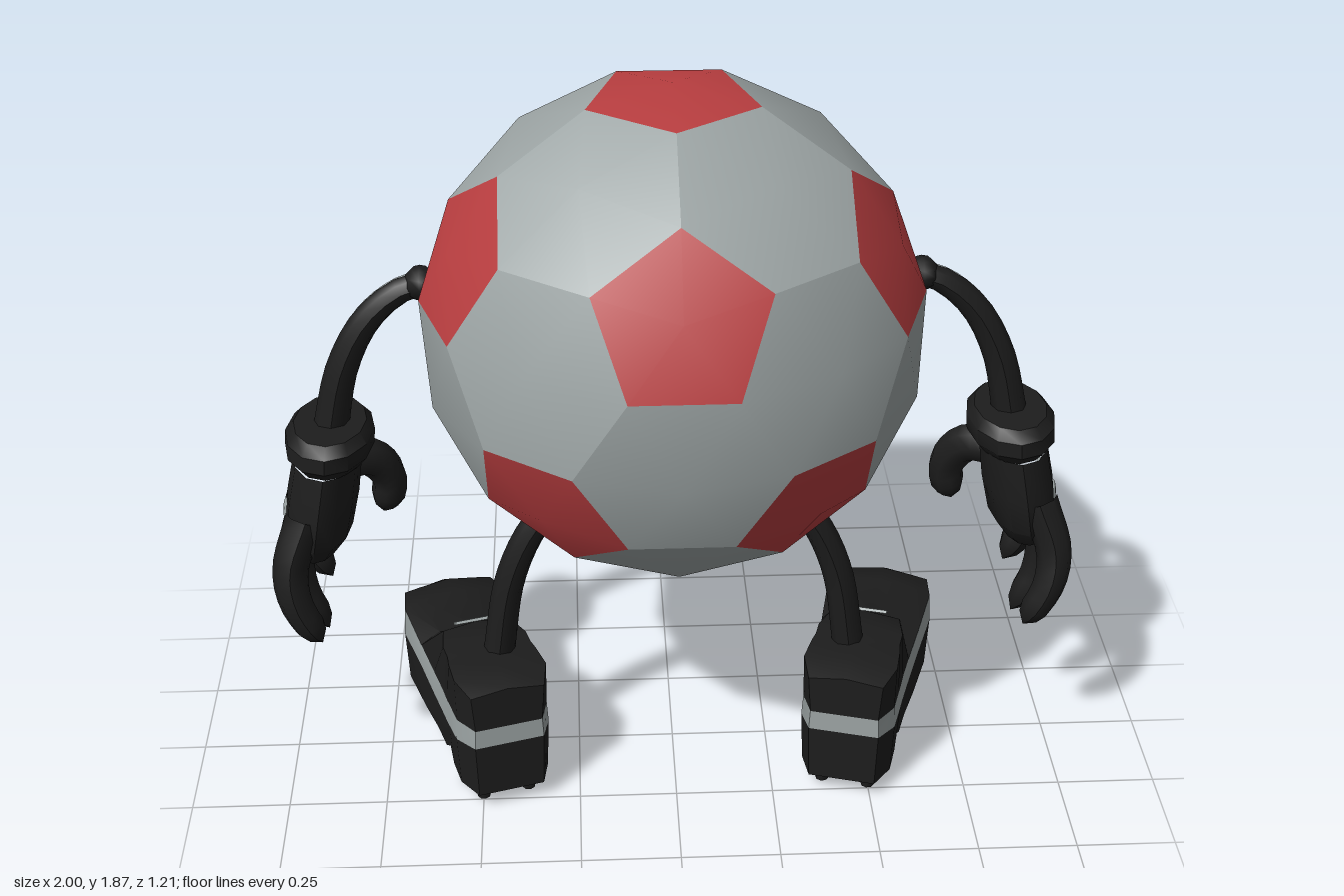
import * as THREE from 'three';
import { mergeGeometries, toCreasedNormals } from 'three/addons/utils/BufferGeometryUtils.js';

const V = (x, y, z) => new THREE.Vector3(x, y, z);
const mat = (name, color) => Object.assign(new THREE.MeshStandardMaterial({ color }), { name });
const red = mat('red panels', 0xb93e40);
const grey = mat('pale grey', 0x9ea6a6);
const black = mat('soft black', 0x1d1d1d);

const R = 0.615, CY = 1.25;

function add(parent, name, geometry, material) {
  const m = new THREE.Mesh(geometry, material);
  m.name = name;
  parent.add(m);
  return m;
}

// Tapered tube; rounded adds a closed tip
function limb(points, r0, r1, rounded = false, sides = 8) {
  const steps = 12, curve = new THREE.CatmullRomCurve3(points);
  const g = new THREE.TubeGeometry(curve, steps, 1, sides);
  const p = g.attributes.position, n = g.attributes.normal;
  for (let i = 0; i < p.count; i++) {
    const ring = Math.floor(i / (sides + 1));
    let r = r0 + (r1 - r0) * ring / steps;
    if (rounded && ring >= steps - 1) r *= ring === steps ? 0.02 : 0.75;
    const c = curve.getPointAt(ring / steps);
    p.setXYZ(i, c.x + n.getX(i) * r, c.y + n.getY(i) * r, c.z + n.getZ(i) * r);
  }
  g.computeVertexNormals();
  return g;
}

function ellipsoid(parent, name, material, pos, rx, ry, rz, seg = 12) {
  const m = add(parent, name, new THREE.SphereGeometry(1, seg, Math.ceil(seg * 0.7)), material);
  m.position.copy(pos);
  m.scale.set(rx, ry, rz);
  return m;
}

// One bulged panel: a fan around its centre
function panel(center, corners) {
  corners = corners.map(c => c.clone().setLength(R));
  const mid = center.clone().setLength(R);
  const ax = corners[0].clone().projectOnPlane(center).normalize();
  const ay = center.clone().normalize().cross(ax);
  corners.sort((a, b) => Math.atan2(a.dot(ay), a.dot(ax)) - Math.atan2(b.dot(ay), b.dot(ax)));
  const g = new THREE.BufferGeometry().setFromPoints([mid, ...corners]);
  const n = corners.length;
  g.setIndex(corners.flatMap((_, i) => [0, 1 + i, 1 + (i + 1) % n]));
  g.computeVertexNormals();
  return g;
}

// Football of twelve pentagons and twenty hexagons
function makeBall(root) {
  const ico = [V(0, 1, 0), V(0, -1, 0)];
  for (let i = 0; i < 5; i++) {
    const a = i * Math.PI * 0.4, h = 1 / Math.sqrt(5), q = 2 * h;
    ico.push(V(q * Math.sin(a), h, q * Math.cos(a)));
    ico.push(V(-q * Math.sin(a), -h, -q * Math.cos(a)));
  }
  const near = (a, b) => a !== b && a.distanceTo(b) < 1.2;
  const third = (a, b) => a.clone().lerp(b, 1 / 3);
  const pent = ico.map(v => panel(v, ico.filter(u => near(u, v)).map(u => third(v, u))));
  const hex = [];
  ico.forEach((a, i) => ico.forEach((b, j) => ico.forEach((c, k) => {
    if (i < j && j < k && near(a, b) && near(b, c) && near(a, c)) {
      hex.push(panel(a.clone().add(b).add(c),
        [third(a, b), third(b, a), third(b, c), third(c, b), third(c, a), third(a, c)]));
    }
  })));
  const ball = new THREE.Group();
  ball.name = 'ball';
  ball.position.y = CY;
  add(ball, 'pentagonPanels', mergeGeometries(pent), red);
  add(ball, 'hexagonPanels', mergeGeometries(hex), grey);
  root.add(ball);
}

// Point on the face side of the ball
const onBall = (x, y, r = 0.607) => V(x, y, -Math.sqrt(r * r - x * x - (y - CY) ** 2));

function makeFace(root) {
  const face = new THREE.Group();
  face.name = 'face';
  for (const s of [-1, 1]) {
    const eye = ellipsoid(face, 'eye', black, onBall(0.215 * s, 1.37, 0.595), 0.075, 0.085, 0.045);
    eye.rotation.y = -s * 0.36;
    ellipsoid(face, 'eyeShine', grey, onBall(0.215 * s - 0.02, 1.355, 0.615), 0.036, 0.045, 0.028);
    add(face, 'eyebrow', limb([onBall(0.1 * s, 1.44), onBall(0.15 * s, 1.475), onBall(0.2 * s, 1.49)],
      0.017, 0.012, true, 6), black);
  }
  const line = (w, y, sag) => limb([-1, -0.5, 0, 0.5, 1].map(t =>
    onBall(w * t, y - sag * (1 - t * t), 0.608)), 0.014, 0.014, false, 6);
  add(face, 'mouth', line(0.17, 1.13, 0.03), black);
  add(face, 'lowerLip', line(0.08, 1.065, 0.015), black);
  root.add(face);
}

function makeArm(root, s) {
  const arm = new THREE.Group();
  arm.name = s > 0 ? 'leftArm' : 'rightArm';
  const P = (x, y, z) => V(x * s, y, z);
  const path = [[0.56, 1.375], [0.64, 1.355], [0.73, 1.28], [0.8, 1.15], [0.845, 0.96]];
  add(arm, 'sleeve', limb(path.map(([x, y]) => P(x, y, 0)), 0.03, 0.044), black);
  add(arm, 'sleeveStripe', limb(path.slice(0, 4).map(([x, y]) => P(x + 0.007, y + 0.007, -0.012)),
    0.018, 0.026), grey);
  ellipsoid(arm, 'shoulder', black, P(0.6, 1.37, 0), 0.04, 0.042, 0.045, 8);

  // Cuff and palm are flattened turned shapes leaning outward
  const turned = (name, profile, zScale, lean) => {
    const g = new THREE.LatheGeometry(profile.map(([r, y]) => new THREE.Vector2(r, y)), 12);
    const p = g.attributes.position;
    for (let i = 0; i < p.count; i++) {
      const y = p.getY(i);
      p.setXYZ(i, p.getX(i) + s * (0.845 + (0.96 - y) * lean), y, p.getZ(i) * zScale);
    }
    add(arm, name, toCreasedNormals(g, 0.7), black);
  };
  turned('cuff', [[0, 0.9], [0.085, 0.9], [0.11, 0.935], [0.11, 0.975], [0.09, 1.0], [0, 1.0]], 1.45, 0.08);
  turned('palm', [[0, 0.62], [0.055, 0.64], [0.085, 0.7], [0.09, 0.8], [0.085, 0.91]], 1.7, 0.18);

  // Three fingers, curling inward at the tips
  for (const f of [-1, 0, 1]) {
    const d = f ? 0.06 : 0;
    add(arm, 'finger', limb([P(0.91, 0.78, f * 0.1), P(0.955, 0.62 + d * 0.5, f * 0.135),
      P(0.945, 0.5 + d, f * 0.155), P(0.89, 0.38 + d, f * 0.15)], 0.05, 0.036, true), black);
    const slit = ellipsoid(arm, 'knuckleStripe', grey, P(0.967, 0.73, f * 0.11), 0.012, 0.05, 0.014, 8);
    if (f) slit.position.x -= s * 0.012;
  }
  add(arm, 'thumb', limb([P(0.86, 0.83, -0.08), P(0.77, 0.81, -0.14), P(0.725, 0.73, -0.175),
    P(0.745, 0.62, -0.18)], 0.055, 0.042, true), black);
  root.add(arm);
}

// Shoe stations: [distance to toe, half width, sole y, band low, band high, top half width, top y]
const stations = [
  [-0.18, 0.09, 0.05, 0.2, 0.255, 0.095, 0.37],
  [-0.11, 0.122, 0.05, 0.19, 0.25, 0.12, 0.385],
  [-0.03, 0.122, 0.05, 0.175, 0.24, 0.115, 0.38],
  [0.0, 0.122, 0.085, 0.17, 0.235, 0.11, 0.38],
  [0.05, 0.122, 0.05, 0.165, 0.235, 0.11, 0.378],
  [0.13, 0.125, 0.05, 0.165, 0.235, 0.09, 0.37],
  [0.23, 0.135, 0.05, 0.19, 0.255, 0.08, 0.3],
  [0.38, 0.145, 0.05, 0.195, 0.275, 0.095, 0.305],
  [0.47, 0.125, 0.05, 0.14, 0.265, 0.08, 0.285],
  [0.53, 0.085, 0.055, 0.13, 0.215, 0.055, 0.245],
  [0.555, 0.045, 0.07, 0.12, 0.16, 0.03, 0.18],
];

function shoeGeometry() {
  const rows = stations.map(([d, w, b, lo, hi, tw, top]) =>
    [[0, b], [w * 0.95, b], [w, lo], [w * 0.97, hi], [tw, top - 0.012], [0, top]].map(([x, y]) => V(x, y, -d)));
  const flip = v => V(-v.x, v.y, v.z);
  const tris = { black: [], grey: [] };
  const quad = (list, a, b, c, d) => list.push(a, b, c, a, c, d);
  const last = rows.length - 1;
  for (let k = 0; k < 5; k++) {
    const list = k === 2 ? tris.grey : tris.black;
    for (let i = 0; i < last; i++) {
      const side = i >= last - 1 ? tris.black : list;
      const [a, b, c, d] = [rows[i][k], rows[i + 1][k], rows[i + 1][k + 1], rows[i][k + 1]];
      quad(side, a, b, c, d);
      quad(side, flip(d), flip(c), flip(b), flip(a));
    }
    const [h0, h1, t0, t1] = [rows[0][k], rows[0][k + 1], rows[last][k], rows[last][k + 1]];
    quad(list, flip(h0), h0, h1, flip(h1));
    quad(tris.black, t0, flip(t0), flip(t1), t1);
  }
  const g = toCreasedNormals(new THREE.BufferGeometry().setFromPoints([...tris.black, ...tris.grey]), 0.7);
  g.addGroup(0, tris.black.length, 0);
  g.addGroup(tris.black.length, tris.grey.length, 1);
  return g;
}

function makeLeg(root, s) {
  const leg = new THREE.Group();
  leg.name = s > 0 ? 'leftLeg' : 'rightLeg';
  add(leg, 'shin', limb([[0.29, 0.82], [0.36, 0.72], [0.415, 0.58], [0.45, 0.36]]
    .map(([x, y]) => V(x * s, y, 0.1)), 0.036, 0.04), black);

  const shoe = new THREE.Group();
  shoe.name = 'shoe';
  shoe.position.set(0.475 * s, 0, 0.1);
  shoe.rotation.y = -s * 0.28;
  add(shoe, 'boot', shoeGeometry(), [black, grey]);
  const tongue = add(shoe, 'tongueStripe', new THREE.BoxGeometry(0.11, 0.008, 0.03), grey);
  tongue.position.set(0, 0.364, -0.145);
  tongue.rotation.x = -0.6;
  // Studs under heel and forefoot
  for (const [d, w] of [[-0.12, 0.06], [-0.05, 0.085], [0.17, 0.08], [0.3, 0.095], [0.42, 0.08]]) {
    for (const t of [-1, 1]) {
      add(shoe, 'stud', new THREE.CylinderGeometry(0.025, 0.017, 0.06, 8), black).position.set(t * w, 0.03, -d);
    }
  }
  leg.add(shoe);
  root.add(leg);
}

export function createModel() {
  const root = new THREE.Group();
  root.name = 'footballFigure';
  makeBall(root);
  makeFace(root);
  for (const s of [-1, 1]) {
    makeArm(root, s);
    makeLeg(root, s);
  }
  return root;
}
